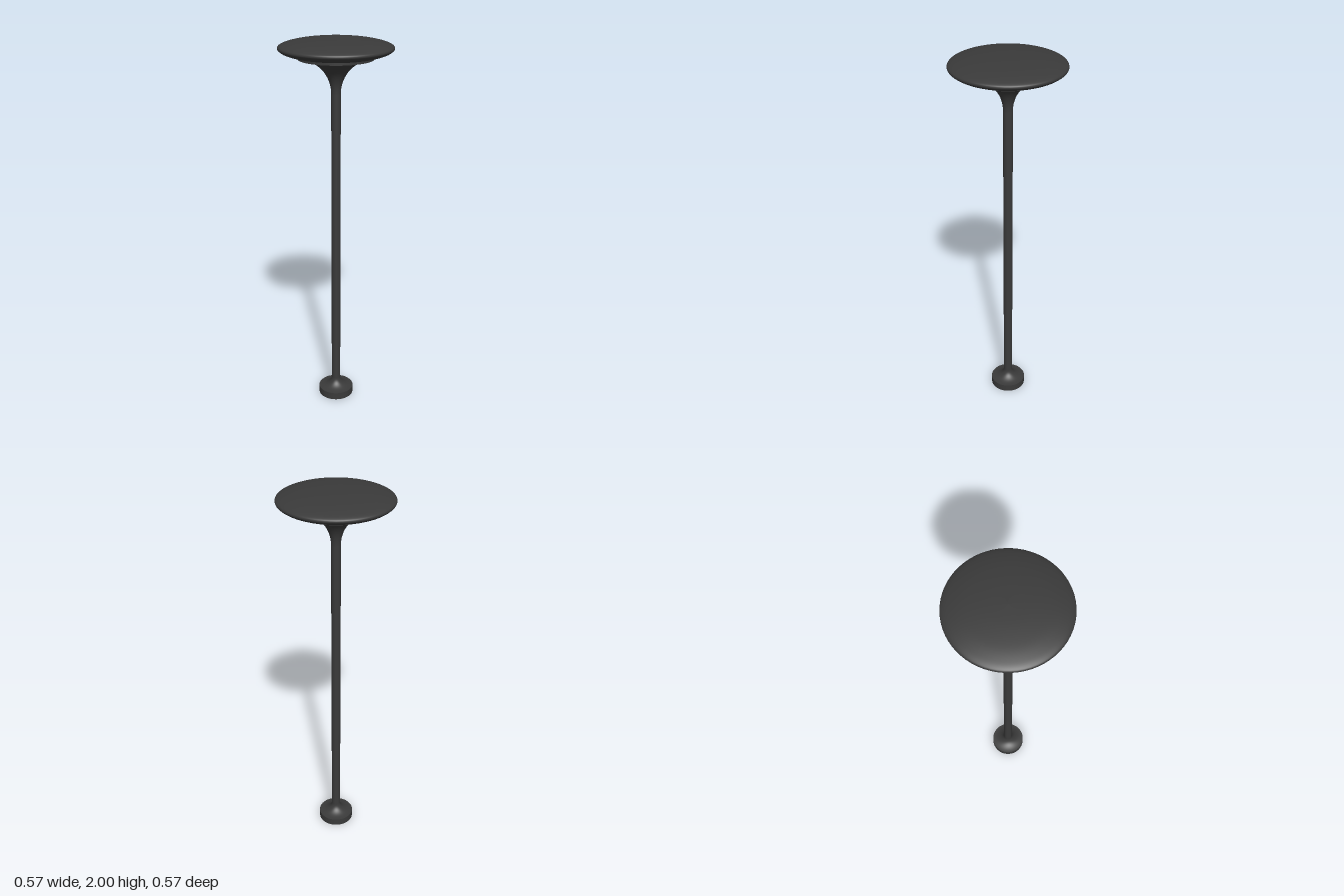
import * as THREE from 'three';

const SEGMENTS = 64;
const v = (r, y) => new THREE.Vector2(r, y);

// Quarter-ellipse profile from (r0, y0) to (r1, y1), upright at the start and level at the end
function quarter(r0, y0, r1, y1, steps = 16) {
  return Array.from({ length: steps + 1 }, (_, i) => {
    const t = (i / steps) * Math.PI / 2;
    return v(r1 + (r0 - r1) * Math.cos(t), y0 + (y1 - y0) * Math.sin(t));
  });
}

export function createModel() {
  const group = new THREE.Group();
  const material = new THREE.MeshStandardMaterial({ color: 0x3a3a3a });

  const add = (name, geometry, y = 0) => {
    const mesh = new THREE.Mesh(geometry, material);
    mesh.name = name;
    mesh.position.y = y;
    group.add(mesh);
  };
  const disc = (name, radius, bottom, top) =>
    add(name, new THREE.CylinderGeometry(radius, radius, top - bottom, SEGMENTS), (bottom + top) / 2);
  const lathe = (name, points) => add(name, new THREE.LatheGeometry(points, SEGMENTS));

  // Foot disc and the concave collar that blends into the pole
  disc('base', 0.095, 0, 0.04);
  lathe('baseCollar', quarter(0.024, 0.095, 0.093, 0.042).reverse());

  // Slender pole
  add('pole', new THREE.CylinderGeometry(0.024, 0.024, 1.66, SEGMENTS, 1, true), 0.91);

  // Trumpet-shaped flare and its thin rim
  lathe('flare', quarter(0.024, 1.73, 0.19, 1.903));
  disc('flareRim', 0.19, 1.903, 1.925);

  // Lens-shaped head: shallow underside, rounded edge, low dome
  const head = new THREE.SplineCurve([
    v(0.17, 1.915), v(0.215, 1.92), v(0.26, 1.933), v(0.281, 1.946), v(0.286, 1.956),
    v(0.279, 1.966), v(0.25, 1.977), v(0.19, 1.989), v(0.1, 1.997), v(0, 2),
  ]);
  lathe('lampHead', head.getPoints(48).map(p => v(Math.max(p.x, 0), Math.min(p.y, 2))));

  return group;
}
